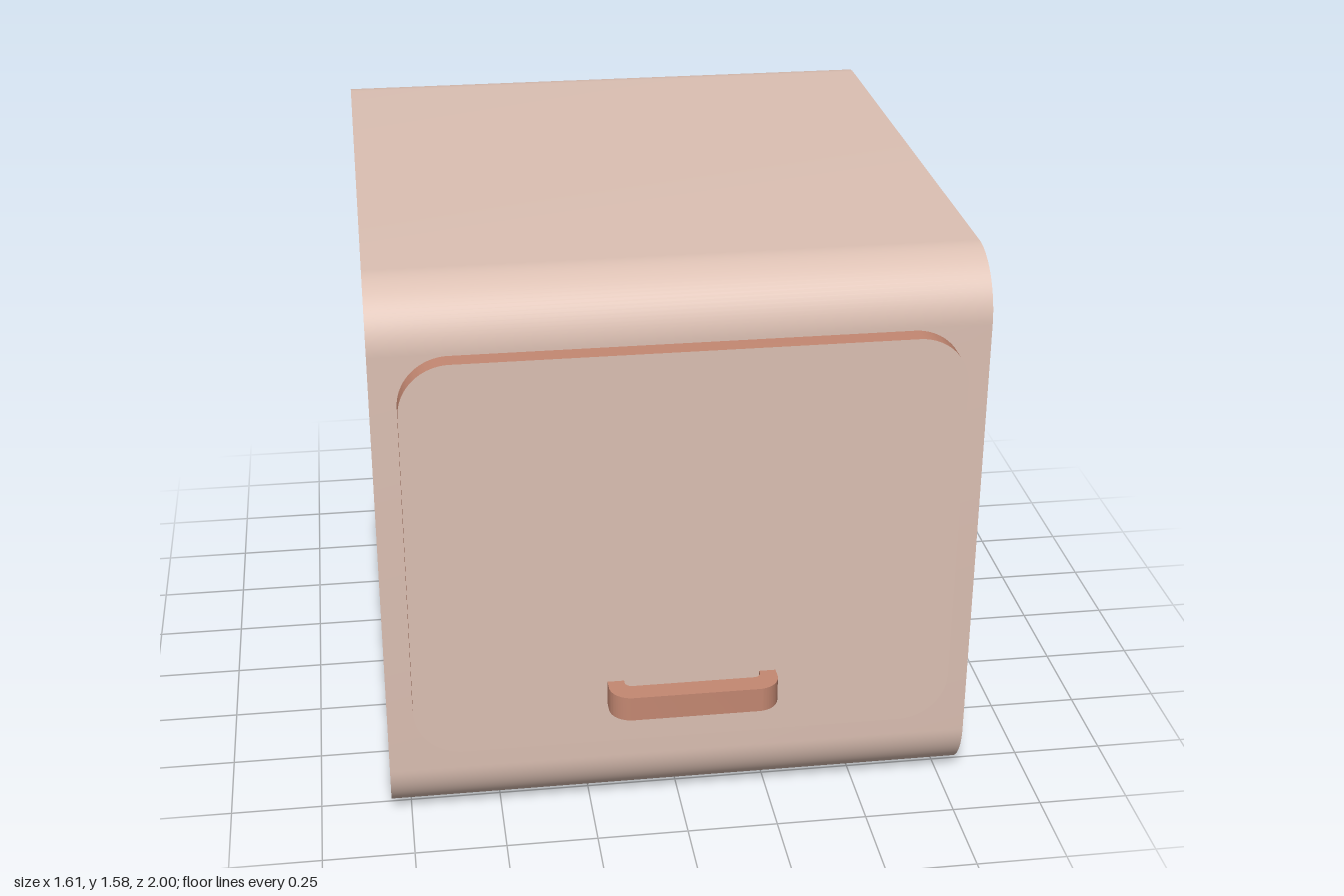
import * as THREE from 'three';
import { toCreasedNormals } from 'three/addons/utils/BufferGeometryUtils.js';

const material = (name, color) => {
  const m = new THREE.MeshStandardMaterial({ color });
  m.name = name;
  return m;
};

// Rectangle with rounded corners, centred on the origin
function roundedRect(w, h, r) {
  const s = new THREE.Shape();
  const x = w / 2, y = h / 2;
  s.moveTo(-x + r, -y);
  s.lineTo(x - r, -y);
  s.absarc(x - r, -y + r, r, -Math.PI / 2, 0);
  s.lineTo(x, y - r);
  s.absarc(x - r, y - r, r, 0, Math.PI / 2);
  s.lineTo(-x + r, y);
  s.absarc(-x + r, y - r, r, Math.PI / 2, Math.PI);
  s.lineTo(-x, -y + r);
  s.absarc(-x + r, -y + r, r, Math.PI, Math.PI * 1.5);
  return s;
}

// Extrusion with smooth corners and sharp rims, centred on its depth
function slab(shape, depth) {
  const g = new THREE.ExtrudeGeometry(shape, { depth, bevelEnabled: false, curveSegments: 12 });
  g.translate(0, 0, -depth / 2);
  return toCreasedNormals(g, 0.6);
}

// U-shaped bracket seen from above: legs start at y = 0 and reach forward
function bracketShape(w, d, r, leg, bar, inner) {
  const s = new THREE.Shape();
  const x = w / 2, xi = x - leg, yi = d - bar;
  s.moveTo(x - leg, 0);
  s.lineTo(x, 0);
  s.lineTo(x, d - r);
  s.absarc(x - r, d - r, r, 0, Math.PI / 2);
  s.lineTo(-x + r, d);
  s.absarc(-x + r, d - r, r, Math.PI / 2, Math.PI);
  s.lineTo(-x, 0);
  s.lineTo(-xi, 0);
  s.lineTo(-xi, yi - inner);
  s.absarc(-xi + inner, yi - inner, inner, Math.PI, Math.PI / 2, true);
  s.lineTo(xi - inner, yi);
  s.absarc(xi - inner, yi - inner, inner, Math.PI / 2, 0, true);
  return s;
}

export function createModel() {
  const group = new THREE.Group();
  const shell = material('pale clay', 0xdcc0b3);
  const trim = material('terracotta', 0xc48872);

  const add = (name, geometry, mat, x, y, z) => {
    const mesh = new THREE.Mesh(geometry, mat);
    mesh.name = name;
    mesh.position.set(x, y, z);
    group.add(mesh);
  };

  // Box body, rounded front and back along its width
  const body = slab(roundedRect(1.855, 1.58, 0.17), 1.61);
  body.rotateY(Math.PI / 2);
  add('body', body, shell, 0, 0.79, -0.0725);

  // Front door: pale face, terracotta edge
  add('door', slab(roundedRect(1.47, 1.15, 0.135), 0.055), [shell, trim], 0, 0.83, 0.8825);

  // Pull handle low on the door
  const handle = slab(bracketShape(0.46, 0.092, 0.06, 0.045, 0.06, 0.02), 0.07);
  handle.rotateX(Math.PI / 2);
  add('handle', handle, trim, 0.02, 0.41, 0.908);

  return group;
}
